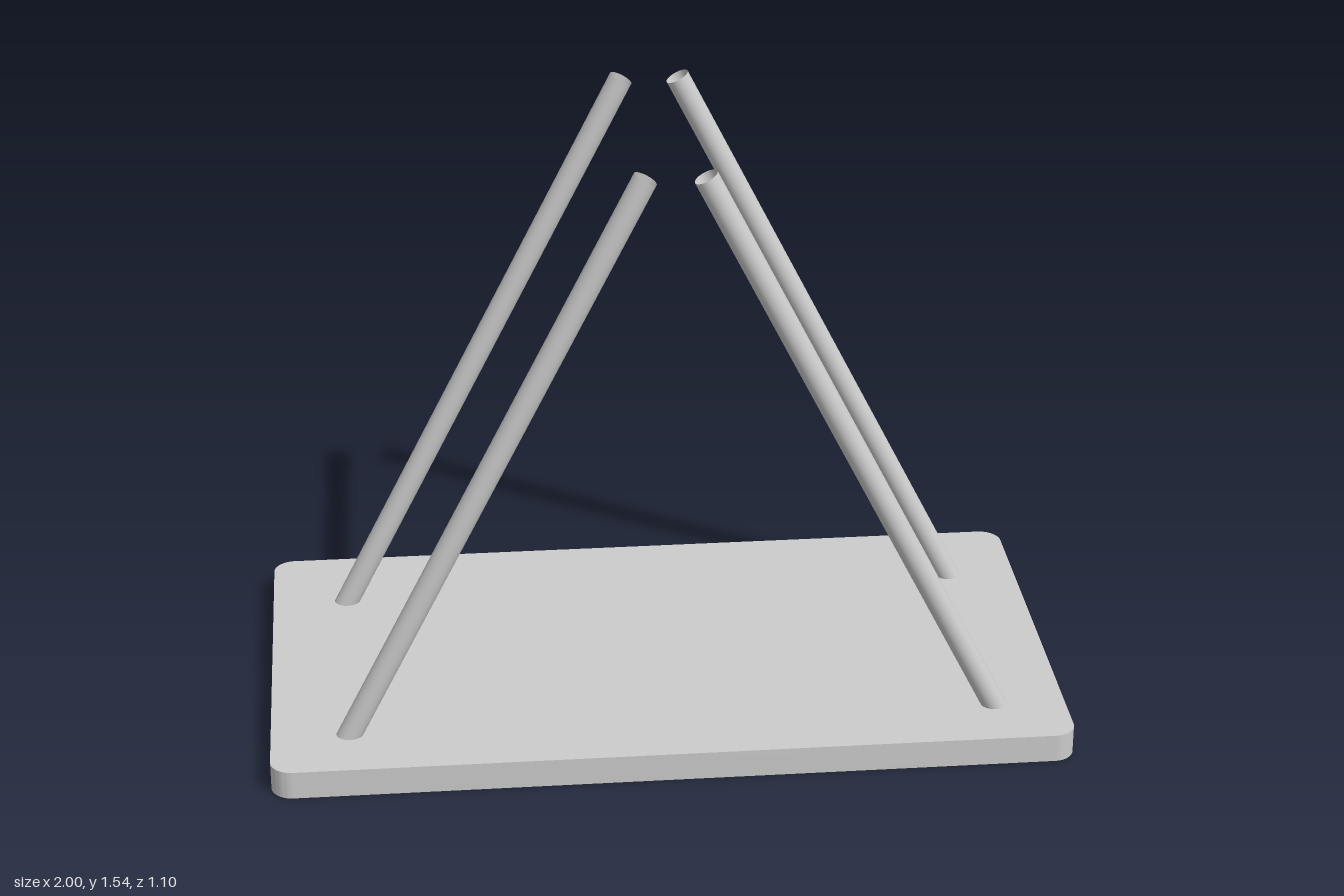
import * as THREE from 'three';
import { toCreasedNormals } from 'three/addons/utils/BufferGeometryUtils.js';

const HALF_W = 1, HALF_D = 0.55, THICK = 0.073, CORNER = 0.055;
const ROD_RADIUS = 0.03;

// Rectangular slab with rounded vertical corners, standing on y = 0
function baseGeometry() {
  const w = HALF_W - CORNER, d = HALF_D - CORNER;
  const s = new THREE.Shape();
  s.absarc(w, d, CORNER, 0, Math.PI / 2);
  s.absarc(-w, d, CORNER, Math.PI / 2, Math.PI);
  s.absarc(-w, -d, CORNER, Math.PI, Math.PI * 1.5);
  s.absarc(w, -d, CORNER, Math.PI * 1.5, Math.PI * 2);
  s.closePath();
  const g = new THREE.ExtrudeGeometry(s, { depth: THICK, bevelEnabled: false, curveSegments: 10 });
  g.rotateX(-Math.PI / 2);
  return toCreasedNormals(g, 0.6);
}

// Open tube running from one point to another
function rod(from, to, material) {
  const axis = new THREE.Vector3().subVectors(to, from);
  const g = new THREE.CylinderGeometry(ROD_RADIUS, ROD_RADIUS, axis.length(), 32, 1, true);
  const mesh = new THREE.Mesh(g, material);
  mesh.position.addVectors(from, to).multiplyScalar(0.5);
  mesh.quaternion.setFromUnitVectors(new THREE.Vector3(0, 1, 0), axis.normalize());
  return mesh;
}

export function createModel() {
  const model = new THREE.Group();
  model.name = 'slantedRodStand';
  const solid = new THREE.MeshStandardMaterial({ color: 0xcccccc });
  const open = new THREE.MeshStandardMaterial({ color: 0xcccccc, side: THREE.DoubleSide });

  const base = new THREE.Mesh(baseGeometry(), solid);
  base.name = 'base';
  model.add(base);

  // Two pairs of rods leaning towards each other, set slightly off centre
  const offset = 0.008;
  for (const [end, z] of [['front', 0.378], ['back', -0.313]]) {
    for (const [side, sx] of [['Left', 1], ['Right', -1]]) {
      const foot = new THREE.Vector3(offset + sx * 0.828, 0.04, z);
      const tip = new THREE.Vector3(offset + sx * 0.071, 1.527, z);
      const mesh = rod(foot, tip, open);
      mesh.name = `${end}${side}Rod`;
      model.add(mesh);
    }
  }
  return model;
}
